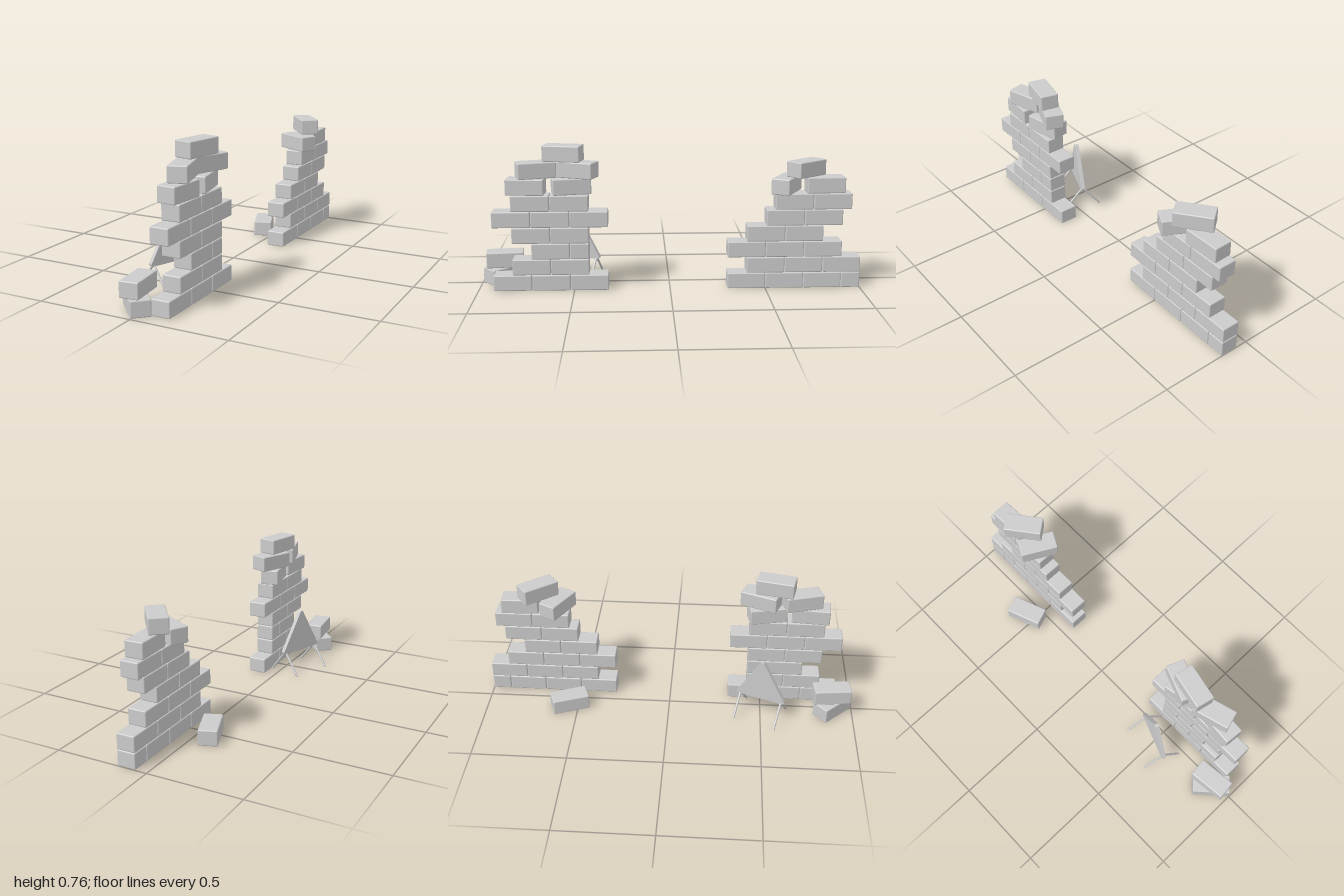
import * as THREE from 'three';
import { RoundedBoxGeometry } from 'three/addons/geometries/RoundedBoxGeometry.js';

const PITCH = 0.0845, LENGTH = 0.2, WALL_X = 0.11;

export function createModel() {
  const model = new THREE.Group();
  const material = new THREE.MeshStandardMaterial({ color: 0xcccccc });
  const makeBrick = (length) => new RoundedBoxGeometry(0.099, 0.0835, length - 0.002, 2, 0.006);
  const full = makeBrick(LENGTH), half = makeBrick(LENGTH / 2);

  function brick(parent, name, x, row, z, turn = 0, geometry = full) {
    const mesh = new THREE.Mesh(geometry, material);
    mesh.name = name;
    mesh.position.set(x, row * PITCH + 0.042, z);
    mesh.rotation.y = turn;
    parent.add(mesh);
  }

  // Neat courses, from the bottom: [starting z, number of bricks, halves allowed]
  // followed by the displaced bricks on top: [x, row, z, turn]
  function wall(name, dir, courses, displaced) {
    const group = new THREE.Group();
    group.name = name;
    courses.forEach(([start, count], row) => {
      for (let i = 0; i < count; i++) {
        const size = Math.min(1, count - i) * LENGTH;
        const z = start + dir * (i * LENGTH + size / 2);
        brick(group, 'wallBrick', WALL_X, row, z, 0, size < LENGTH ? half : full);
      }
    });
    displaced.forEach(([x, row, z, turn]) => brick(group, 'displacedBrick', x, row, z, turn));
    model.add(group);
  }

  wall('frontWall', -1,
    [[0.92, 3], [0.82, 2], [0.72, 1.5], [0.82, 2], [0.92, 3], [0.82, 2]],
    [[0.108, 6, 0.742, -0.08], [0.1, 6, 0.51, 0.2],
      [0.1, 7, 0.69, 0.28], [0.1, 7, 0.475, -0.38],
      [0.095, 8, 0.548, -0.22]]);

  wall('backWall', -1,
    [[-0.3, 3.5], [-0.4, 3], [-0.3, 3], [-0.4, 2], [-0.5, 2], [-0.545, 2]],
    [[0.11, 6, -0.807, 0.03], [0.108, 6, -0.607, 1.08], [0.108, 7, -0.708, 0.665]]);

  // Loose bricks on the ground
  const loose = new THREE.Group();
  loose.name = 'looseBricks';
  brick(loose, 'looseBrick', -0.033, 0, 0.89, 0.757);
  brick(loose, 'looseBrick', -0.03, 1, 0.88, 0.11);
  brick(loose, 'looseBrick', -0.077, 0, -0.545, 0.365);
  model.add(loose);

  // Triangular sign standing on two pairs of splayed legs
  const sign = new THREE.Group();
  sign.name = 'triangleSign';
  sign.position.set(-0.08, 0, 0.498);
  sign.rotation.y = 1.2;
  model.add(sign);

  const outline = new THREE.Shape();
  [[0.122, 0.128], [0, 0.341], [-0.122, 0.128]].forEach(([x, y], i) => {
    const a = -Math.PI / 2 + i * Math.PI * 2 / 3;
    outline.absarc(x, y, 0.012, a, a + Math.PI * 2 / 3, false);
  });
  const panelGeometry = new THREE.ExtrudeGeometry(outline,
    { depth: 0.022, bevelEnabled: false, curveSegments: 6 });
  panelGeometry.translate(0, 0, -0.011);
  const panel = new THREE.Mesh(panelGeometry, material);
  panel.name = 'signPanel';
  sign.add(panel);

  for (const side of [-1, 1]) {
    for (const face of [-1, 1]) {
      const top = new THREE.Vector3(side * 0.115, 0.126, 0);
      const foot = new THREE.Vector3(side * 0.115, 0.004, face * 0.1);
      const axis = top.clone().sub(foot);
      const leg = new THREE.Mesh(new THREE.CylinderGeometry(0.006, 0.006, axis.length(), 10), material);
      leg.name = 'signLeg';
      leg.position.copy(top).add(foot).multiplyScalar(0.5);
      leg.quaternion.setFromUnitVectors(new THREE.Vector3(0, 1, 0), axis.normalize());
      sign.add(leg);
    }
  }

  return model;
}
